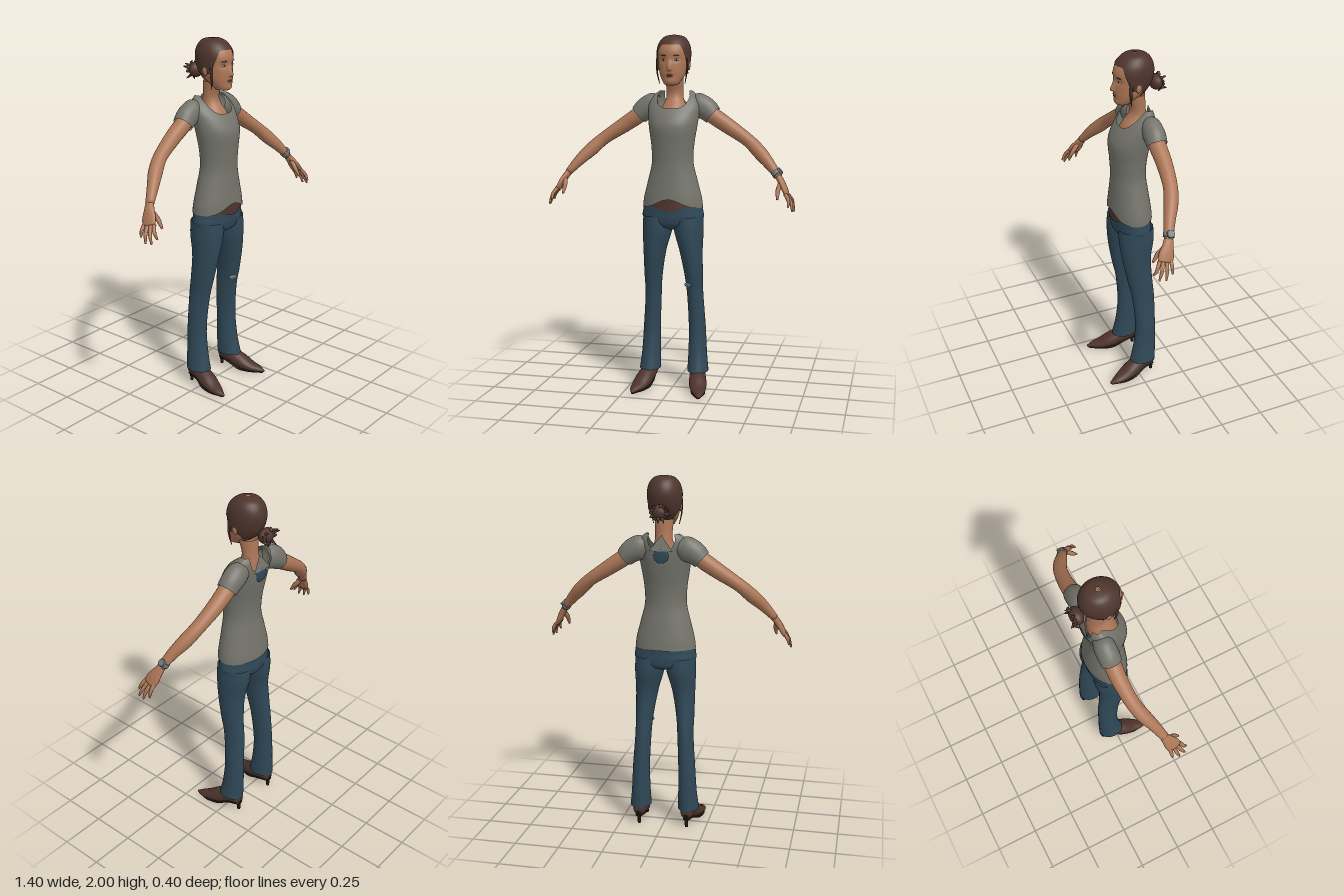
import * as THREE from 'three';

const mat = (name, color) => {
  const m = new THREE.MeshStandardMaterial({ color, side: THREE.DoubleSide });
  m.name = name;
  return m;
};

// Smooth interpolation of a table of rows [y, centreX, halfWidth, zFront, zBack] at height y
function rowAt(rows, y) {
  const last = rows.length - 1;
  let i = 0;
  while (i < last - 1 && y > rows[i + 1][0]) i++;
  const p = rows[i], q = rows[i + 1], h = q[0] - p[0];
  const t = THREE.MathUtils.clamp((y - p[0]) / h, 0, 1);
  const slope = (k, c) => {
    const a = rows[Math.max(k - 1, 0)], b = rows[Math.min(k + 1, last)];
    return ((b[c] - a[c]) / (b[0] - a[0])) * h;
  };
  return p.map((v, c) => {
    const d = q[c] - v, m0 = slope(i, c), m1 = slope(i + 1, c);
    return v + t * (m0 + t * (3 * d - 2 * m0 - m1 + t * (m0 + m1 - 2 * d)));
  });
}

// Closed-ring grid: point(u, v) with u around and v along
function grid(nu, nv, point) {
  const pos = [], index = [];
  for (let j = 0; j <= nv; j++)
    for (let i = 0; i < nu; i++) pos.push(...point((i / nu) * Math.PI * 2, j / nv));
  for (let j = 0; j < nv; j++)
    for (let i = 0; i < nu; i++) {
      const k = (i + 1) % nu, a = j * nu + i, b = j * nu + k;
      index.push(a, b, b + nu, a, b + nu, a + nu);
    }
  const g = new THREE.BufferGeometry();
  g.setAttribute('position', new THREE.Float32BufferAttribute(pos, 3));
  g.setIndex(index);
  g.computeVertexNormals();
  return g;
}

// Upright body shell; bottom and top heights may vary with the angle from the front
function shell(rows, { y0 = () => rows[0][0], y1 = () => rows.at(-1)[0], nu = 40, nv = 28, ease = 1, mod } = {}) {
  return grid(nu, nv, (a, v) => {
    const f = a > Math.PI ? Math.PI * 2 - a : a;
    const y = THREE.MathUtils.lerp(y0(f), y1(f), 1 - (1 - v) ** ease);
    const [, cx, rx, zf, zb] = rowAt(rows, y);
    const p = [cx + rx * Math.sin(a), y, (zf + zb) / 2 + ((zf - zb) / 2) * Math.cos(a)];
    if (mod) p[2] += mod(p[0], y, p[2]);
    return p;
  });
}

// Tapered tube through points [x, y, z, radius along hint, radius across]
function limb(points, { hint = [0, 0, 1], nu = 16, cap = true, s = 1 } = {}) {
  const path = new THREE.CatmullRomCurve3(points.map(p => new THREE.Vector3(p[0] * s, p[1], p[2])));
  const radii = new THREE.CatmullRomCurve3(points.map(p => new THREE.Vector3(p[3], p[4] ?? p[3], 0)));
  const n = (points.length - 1) * 5, extra = cap ? 1 : 0;
  return grid(nu, n + 2 * extra, (a, v) => {
    const j = Math.round(v * (n + 2 * extra)) - extra;
    const t = THREE.MathUtils.clamp(j / n, 0, 1), c = path.getPoint(t);
    if (j < 0 || j > n) return c.toArray();
    const tan = path.getTangent(t), r = radii.getPoint(t);
    const d0 = new THREE.Vector3(...hint).addScaledVector(tan, -tan.dot(new THREE.Vector3(...hint))).normalize();
    const d1 = tan.clone().cross(d0);
    return c.addScaledVector(d0, r.x * Math.cos(a)).addScaledVector(d1, r.y * Math.sin(a)).toArray();
  });
}

export function createModel() {
  const skin = mat('skin', 0xad7757), hair = mat('hair', 0x4e352d), cloth = mat('shirt grey', 0x74746c);
  const denim = mat('denim', 0x2f4857), leather = mat('brown leather', 0x4d332b), dark = mat('dark', 0x1c1813);
  const white = mat('eye white', 0xc8c4bc), lip = mat('lip', 0x8c5544), metal = mat('watch grey', 0x6f787a);

  const model = new THREE.Group();
  model.name = 'woman';
  const add = (name, geometry, material, parent = model) => {
    const m = new THREE.Mesh(geometry, material);
    m.name = name;
    parent.add(m);
    return m;
  };
  const blob = (name, material, pos, scale, rotY = 0, rotZ = 0) => {
    const m = add(name, new THREE.SphereGeometry(1, 16, 12), material);
    m.position.set(...pos);
    m.scale.set(...scale);
    m.rotation.set(0, rotY, rotZ);
    return m;
  };
  const bump = (d, w, p = 2) => Math.exp(-(Math.abs(d / w) ** p));
  const step = THREE.MathUtils.smoothstep;

  // Head with nose and eye sockets
  const headRows = [
    [1.722, 0, 0.004, 0.045, 0.035], [1.728, 0, 0.034, 0.07, 0.0], [1.742, 0, 0.047, 0.08, -0.02],
    [1.765, 0, 0.061, 0.081, -0.05], [1.79, 0, 0.072, 0.083, -0.08], [1.83, 0, 0.081, 0.083, -0.11],
    [1.87, 0, 0.086, 0.082, -0.124], [1.91, 0, 0.087, 0.081, -0.128], [1.95, 0, 0.078, 0.062, -0.118],
    [1.975, 0, 0.057, 0.03, -0.095], [1.988, 0, 0.034, 0.0, -0.068], [1.993, 0, 0.004, -0.03, -0.036]];
  add('head', shell(headRows, { nu: 80, nv: 64, mod: (x, y, z) => z < 0 ? 0 :
    0.022 * bump(x, 0.011) * (1 - step(y, 1.812, 1.872)) * step(y, 1.798, 1.812)
    - 0.007 * bump(Math.abs(x) - 0.038, 0.018) * bump(y - 1.862, 0.014) }), skin);
  blob('upperLip', lip, [0, 1.782, 0.08], [0.02, 0.004, 0.006]);
  blob('lowerLip', lip, [0, 1.774, 0.079], [0.017, 0.004, 0.006]);

  // Neck and upper chest
  add('neck', shell([[1.54, 0, 0.1, 0.06, -0.1], [1.6, 0, 0.072, 0.035, -0.1], [1.65, 0, 0.05, 0.0, -0.098],
    [1.69, 0, 0.047, -0.008, -0.093], [1.77, 0, 0.052, 0.02, -0.09]]), skin);

  // Swept-back hair, bun and loose spikes
  const hairRows = headRows.map(([y, x, r, f, b], i) => [y + (i > 8 ? 0.007 : 0), x, r + 0.008, f + 0.006, b - 0.01]);
  add('hair', shell(hairRows, { nu: 64, nv: 30, ease: 1.6,
    y0: a => 1.945 - 0.125 * step(a, 0.55, 1.35) - 0.055 * step(a, 1.7, 2.6) }), hair);
  blob('bun', hair, [0, 1.815, -0.155], [0.05, 0.042, 0.036]);
  for (let i = 0; i < 11; i++) {
    const a = i * 2.4, r = 0.052 + 0.018 * ((i * 7) % 5) / 5, c = Math.cos(a), s = Math.sin(a);
    add('bunStrand', limb([[c * 0.02, 1.815 + s * 0.02, -0.165, 0.012], [c * 0.045, 1.815 + s * 0.036, -0.178, 0.009],
      [c * r, 1.815 + s * r * 0.85, -0.17 - 0.028 * (i % 2), 0.002]], { hint: [0.3, 0.2, 1], nu: 6 }), hair);
  }

  // Shirt with scooped neckline front and back
  const shirtRows = [
    [1.04, 0, 0.172, 0.112, -0.12], [1.1, 0, 0.165, 0.11, -0.115], [1.2, 0, 0.14, 0.102, -0.102],
    [1.3, 0, 0.117, 0.098, -0.09], [1.4, 0, 0.121, 0.103, -0.096], [1.5, 0, 0.136, 0.108, -0.115],
    [1.56, 0, 0.143, 0.085, -0.125], [1.62, 0, 0.148, 0.042, -0.13], [1.665, 0, 0.13, 0.0, -0.128],
    [1.695, 0, 0.092, -0.045, -0.115]];
  add('shirt', shell(shirtRows, { nu: 64, nv: 44,
    y0: a => 1.05 + 0.05 * bump(a, 0.55),
    y1: a => 1.695 - 0.095 * bump(a, 0.75, 4) - 0.09 * bump(Math.PI - a, 0.6, 4) }), cloth);
  const flap = new THREE.BufferGeometry();
  flap.setAttribute('position', new THREE.Float32BufferAttribute(
    [0, 1.69, -0.112, 0.065, 1.605, -0.132, -0.065, 1.605, -0.132], 3));
  flap.computeVertexNormals();
  add('backCollar', flap, cloth);
  blob('backPatch', denim, [0, 1.58, -0.127], [0.042, 0.042, 0.005]);

  // Belt showing under the hem, and jeans seat
  add('belt', shell([[1.03, 0, 0.16, 0.106, -0.105], [1.12, 0, 0.15, 0.1, -0.1]],
    { y0: a => 1.065 - 0.03 * bump(a, 0.6), nv: 4 }), leather);
  add('jeansSeat', shell([[0.925, 0, 0.03, 0.04, -0.05], [0.945, 0, 0.12, 0.08, -0.1], [0.985, 0, 0.172, 0.095, -0.112],
    [1.03, 0, 0.172, 0.098, -0.111], [1.065, 0, 0.166, 0.1, -0.112]], { y1: a => 1.065 - 0.02 * bump(a, 0.6) }), denim);
  blob('kneeTear', metal, [0.093, 0.61, 0.031], [0.024, 0.013, 0.0045], -0.5, 0.1);

  for (const s of [1, -1]) {
    const side = s > 0 ? 'left' : 'right';
    const part = (name, points, material, options = {}) => add(side + name, limb(points, { s, ...options }), material);

    // Face details
    blob(side + 'Eye', white, [s * 0.038, 1.862, 0.067], [0.013, 0.006, 0.004], s * 0.35);
    blob(side + 'Iris', dark, [s * 0.037, 1.862, 0.0695], [0.0055, 0.0055, 0.003], s * 0.35);
    blob(side + 'Eyebrow', hair, [s * 0.038, 1.885, 0.072], [0.018, 0.003, 0.004], s * 0.4, s * -0.05);
    blob(side + 'Ear', skin, [s * 0.086, 1.835, -0.02], [0.008, 0.028, 0.016]);
    part('LooseStrand', [[0.086, 1.87, 0.02, 0.01, 0.004], [0.084, 1.8, 0.022, 0.008, 0.004],
      [0.072, 1.735, 0.015, 0.002]], hair, { nu: 6 });

    // Sleeve and arm
    part('Sleeve', [[0.09, 1.625, -0.072, 0.045, 0.05], [0.13, 1.614, -0.072, 0.056, 0.068],
      [0.175, 1.592, -0.072, 0.058, 0.064], [0.213, 1.558, -0.07, 0.055, 0.054]], cloth, { cap: false, nu: 28 });
    part('Arm', [[0.16, 1.6, -0.07, 0.04], [0.22, 1.553, -0.07, 0.046], [0.3, 1.5, -0.068, 0.043],
      [0.42, 1.42, -0.05, 0.038, 0.036], [0.48, 1.365, -0.025, 0.038], [0.54, 1.305, 0.01, 0.031],
      [0.6, 1.235, 0.042, 0.024, 0.02]], skin, { nu: 22 });

    // Hand
    part('Palm', [[0.592, 1.245, 0.037, 0.022, 0.018], [0.615, 1.21, 0.052, 0.03, 0.018],
      [0.637, 1.17, 0.07, 0.042, 0.016], [0.652, 1.14, 0.082, 0.04, 0.012]], skin);
    const tips = [[0.664, 1.085, 0.15], [0.686, 1.06, 0.13], [0.693, 1.058, 0.095], [0.684, 1.08, 0.055]];
    tips.forEach(([x, y, z], i) => {
      const bz = 0.112 - i * 0.02;
      part('Finger' + (i + 1), [[0.645, 1.15, bz, 0.011], [(0.645 + x) / 2 + 0.01, (1.15 + y) / 2, (bz + z) / 2, 0.01],
        [x, y, z, 0.005]], skin, { nu: 8 });
    });
    part('Thumb', [[0.613, 1.205, 0.065, 0.014], [0.603, 1.165, 0.1, 0.013], [0.605, 1.122, 0.13, 0.006]],
      skin, { nu: 8, hint: [1, 0, 0] });

    // Trouser leg
    const legRows = [
      [0.1, 0.141, 0.06, 0.046, -0.106], [0.2, 0.137, 0.053, 0.025, -0.108], [0.35, 0.133, 0.048, 0.012, -0.108],
      [0.55, 0.122, 0.045, 0.03, -0.104], [0.65, 0.118, 0.05, 0.052, -0.094], [0.8, 0.105, 0.064, 0.08, -0.088],
      [0.92, 0.09, 0.083, 0.092, -0.108], [1.0, 0.086, 0.084, 0.09, -0.106]];
    add(side + 'TrouserLeg', shell(legRows.map(([y, x, ...r]) => [y, x * s, ...r])), denim);

    // Pointed high-heeled shoe
    part('Shoe', [[0.14, 0.09, -0.1, 0.025, 0.02], [0.14, 0.088, -0.08, 0.042, 0.036], [0.143, 0.082, -0.02, 0.046, 0.044],
      [0.157, 0.052, 0.05, 0.043, 0.05], [0.172, 0.03, 0.11, 0.028, 0.043], [0.185, 0.02, 0.16, 0.018, 0.027],
      [0.19, 0.014, 0.198, 0.006]], leather, { hint: [0, 1, 0], nu: 24 });
    part('Sole', [[0.14, 0.05, -0.095, 0.008, 0.02], [0.143, 0.037, -0.02, 0.008, 0.032], [0.157, 0.01, 0.05, 0.007, 0.042],
      [0.172, 0.007, 0.11, 0.006, 0.04], [0.188, 0.007, 0.19, 0.006, 0.01]], dark, { hint: [0, 1, 0] });
    part('Heel', [[0.14, 0.075, -0.085, 0.022], [0.14, 0.04, -0.086, 0.011], [0.14, 0, -0.085, 0.009]], dark, { nu: 10 });
  }

  // Wristwatch on the left arm
  add('watchBand', limb([[0.579, 1.261, 0.03, 0.03, 0.026], [0.593, 1.243, 0.039, 0.03, 0.026]]), metal);
  const face = add('watchFace', new THREE.CylinderGeometry(0.019, 0.021, 0.012, 20), metal);
  face.position.set(0.605, 1.268, 0.032);
  face.rotation.z = -0.85;
  return model;
}
